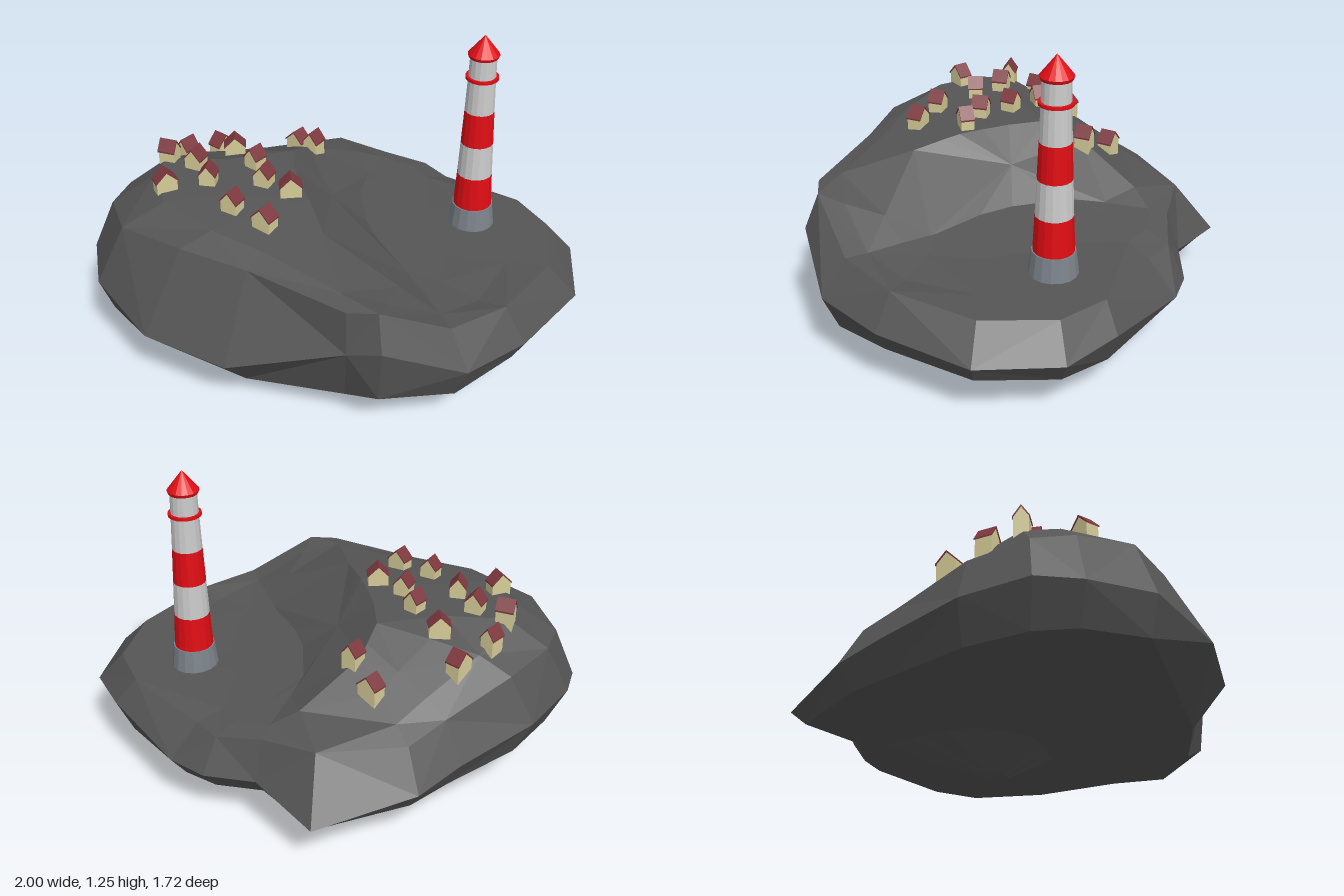
import * as THREE from 'three';

const mat = (color) => new THREE.MeshStandardMaterial({ color, flatShading: true });
const { lerp, clamp, degToRad } = THREE.MathUtils;

// Spokes of the island: x, z and y of the rim, scale and y of the shoulder, scale and y of the lower edge
const SPOKES = [
  [1.0, 0.08, 0.28, 0.89, 0.40, 0.92, 0.17], [0.93, 0.40, 0.28, 0.88, 0.40, 0.95, 0.20],
  [0.65, 0.68, 0.29, 0.90, 0.42, 0.95, 0.20], [0.40, 0.84, 0.31, 0.88, 0.44, 0.93, 0.16],
  [0.08, 0.86, 0.44, 0.93, 0.58, 0.96, 0.20], [-0.04, 0.80, 0.40, 0.98, 0.58, 0.89, 0.13],
  [-0.48, 0.67, 0.26, 0.79, 0.60, 0.84, 0.105], [-0.78, 0.48, 0.28, 0.80, 0.61, 0.83, 0.13],
  [-0.97, 0.20, 0.34, 0.88, 0.58, 0.95, 0.20], [-1.0, -0.06, 0.34, 0.91, 0.55, 0.93, 0.20],
  [-0.94, -0.22, 0.36, 0.90, 0.55, 0.92, 0.20], [-0.76, -0.42, 0.34, 0.88, 0.53, 0.92, 0.19],
  [-0.45, -0.62, 0.30, 0.88, 0.46, 0.92, 0.18], [-0.28, -0.74, 0.26, 0.88, 0.42, 0.92, 0.17],
  [0.12, -0.86, 0.21, 0.80, 0.43, 0.93, 0.165], [0.32, -0.62, 0.25, 0.92, 0.41, 0.92, 0.17],
  [0.52, -0.56, 0.24, 0.90, 0.38, 0.92, 0.16], [0.65, -0.47, 0.25, 0.84, 0.37, 0.92, 0.16],
  [0.90, -0.14, 0.30, 0.90, 0.40, 0.93, 0.16],
];

// Upper and lower edge (as x) of the slope between the village plateau and the tower shelf
const upperEdge = (z) => -0.16 + 0.2 * Math.max(0, z) + 0.6 * Math.max(0, -z - 0.2);
const lowerEdge = (z) => 0.13 + 0.42 * Math.max(0, z - 0.1) + 0.4 * Math.max(0, -z - 0.2);

function ground(x, z) {
  const t = clamp((lowerEdge(z) - x) / (lowerEdge(z) - upperEdge(z)), 0, 1);
  const plateau = 0.675 - 0.16 * Math.max(0, z - 0.2) - 0.56 * Math.max(0, -z - 0.2);
  const shelf = 0.4 + 0.045 * clamp((0.45 - x) / 0.3, 0, 1);
  return lerp(shelf, Math.max(plateau, shelf), t);
}

function createRock() {
  // Rings on top widen from the outline of the slope (f = 0) to the shoulder (f = 1)
  const top = (f) => SPOKES.map(([x, z, , s]) => {
    const z0 = z * s * 0.5;
    const x0 = x < 0 ? upperEdge(z0) : lowerEdge(z0);
    const px = lerp(x0, x * s, f), pz = lerp(z0, z * s, f);
    return [px, ground(px, pz), pz];
  });
  const rings = [
    SPOKES.map(() => [-0.015, 0.56, 0]),
    top(0), top(0.4), top(0.76),
    SPOKES.map(([x, z, , s, y]) => [x * s, y, z * s]),
    SPOKES.map(([x, z, y]) => [x, y, z]),
    SPOKES.map(([x, z, , , , s, y]) => [x * s, y, z * s]),
    SPOKES.map(([x, z, , , , , y]) => [x * 0.62 + 0.03, y * 0.5 + 0.055, z * 0.64 - 0.03]),
    SPOKES.map(([x, z]) => [x * 0.26 + 0.13, 0.13, z * 0.38 - 0.13]),
    SPOKES.map(([x, z]) => [x * 0.03 + 0.07, 0.01, z * 0.07 - 0.07]),
    SPOKES.map(() => [0.07, 0, -0.09]),
  ];
  const n = SPOKES.length, index = [];
  for (let r = 0; r < rings.length - 1; r++) {
    for (let i = 0; i < n; i++) {
      const j = (i + 1) % n;
      const a = r * n + i, b = r * n + j, c = a + n, d = b + n;
      if (r === 0) index.push(a, d, c);
      else if (r === rings.length - 2) index.push(a, b, c);
      else if ((i + r) % 2) index.push(a, b, c, b, d, c);
      else index.push(a, b, d, a, d, c);
    }
  }
  const geo = new THREE.BufferGeometry();
  geo.setAttribute('position', new THREE.Float32BufferAttribute(rings.flat(2), 3));
  geo.setIndex(index);
  const flat = geo.toNonIndexed();
  flat.computeVertexNormals();
  const rock = new THREE.Mesh(flat, mat(0x555555));
  rock.name = 'islandRock';
  return rock;
}

function createLighthouse() {
  const tower = new THREE.Group();
  tower.name = 'lighthouse';
  const red = mat(0xe00d14), white = mat(0xcccccc), grey = mat(0x7c838a);
  // One tapered section from y0 to y1
  const section = (name, y0, y1, r0, r1, material) => {
    const m = new THREE.Mesh(new THREE.CylinderGeometry(r1, r0, y1 - y0, 16), material);
    m.position.y = (y0 + y1) / 2;
    m.name = name;
    tower.add(m);
  };
  section('foundation', 0.38, 0.495, 0.098, 0.084, grey);
  section('lowerRedBand', 0.495, 0.64, 0.079, 0.072, red);
  section('lowerWhiteBand', 0.64, 0.785, 0.072, 0.066, white);
  section('upperRedBand', 0.785, 0.93, 0.066, 0.060, red);
  section('upperWhiteBand', 0.93, 1.08, 0.060, 0.055, white);
  section('lanternRoom', 1.08, 1.17, 0.055, 0.053, white);
  section('galleryRing', 1.071, 1.083, 0.066, 0.066, red);
  section('roofEdge', 1.163, 1.176, 0.058, 0.063, red);
  section('roof', 1.176, 1.255, 0.063, 0, red);
  tower.position.x = 0.577;
  return tower;
}

// Houses: x, z, direction of the ridge in degrees, width across the ridge, length
const HOUSES = [
  [-0.46, -0.38, -45, 0.09, 0.065], [-0.60, -0.28, 45, 0.062, 0.075], [-0.67, -0.17, -25, 0.062, 0.075],
  [-0.56, -0.10, 60, 0.075, 0.07], [-0.68, 0.06, 110, 0.09, 0.06], [-0.51, 0.03, 75, 0.07, 0.065],
  [-0.40, -0.23, 90, 0.09, 0.06], [-0.32, -0.08, 45, 0.068, 0.068], [-0.29, 0.06, 60, 0.07, 0.07],
  [-0.19, 0.15, 90, 0.09, 0.06], [-0.42, 0.22, 55, 0.075, 0.065], [-0.30, 0.33, 50, 0.085, 0.065],
  [-0.12, -0.46, 45, 0.09, 0.065], [-0.06, -0.33, 50, 0.07, 0.07],
];

function createVillage(rock) {
  const village = new THREE.Group();
  village.name = 'village';
  const wallMat = mat(0xd6cd98), roofMat = mat(0x7d383e);
  const eave = 0.045, apex = 0.085, sink = -0.045;
  // Extrudes an outline along the ridge
  const prism = (points, length, material, name) => {
    const shape = new THREE.Shape(points.map(([x, y]) => new THREE.Vector2(x, y)));
    const geo = new THREE.ExtrudeGeometry(shape, { depth: length, bevelEnabled: false });
    const mesh = new THREE.Mesh(geo.translate(0, 0, -length / 2), material);
    mesh.name = name;
    return mesh;
  };
  const ray = new THREE.Raycaster();
  for (const [x, z, turn, width, length] of HOUSES) {
    const w = width / 2 - 0.003, o = width / 2 + 0.001;
    const house = new THREE.Group();
    house.name = 'house';
    house.add(
      prism([[-w, sink], [w, sink], [w, eave], [0, apex], [-w, eave]], length - 0.006, wallMat, 'walls'),
      prism([[-o, eave - 0.005], [0, apex], [o, eave - 0.005], [o, eave + 0.002],
        [0, apex + 0.008], [-o, eave + 0.002]], length, roofMat, 'roof'),
    );
    // Stand the house on the rock below it
    ray.set(new THREE.Vector3(x, 2, z), new THREE.Vector3(0, -1, 0));
    house.position.set(x, ray.intersectObject(rock)[0].point.y, z);
    house.rotation.y = degToRad(turn + 90);
    village.add(house);
  }
  return village;
}

export function createModel() {
  const model = new THREE.Group();
  model.name = 'lighthouseIsland';
  const rock = createRock();
  model.add(rock, createLighthouse(), createVillage(rock));
  return model;
}
